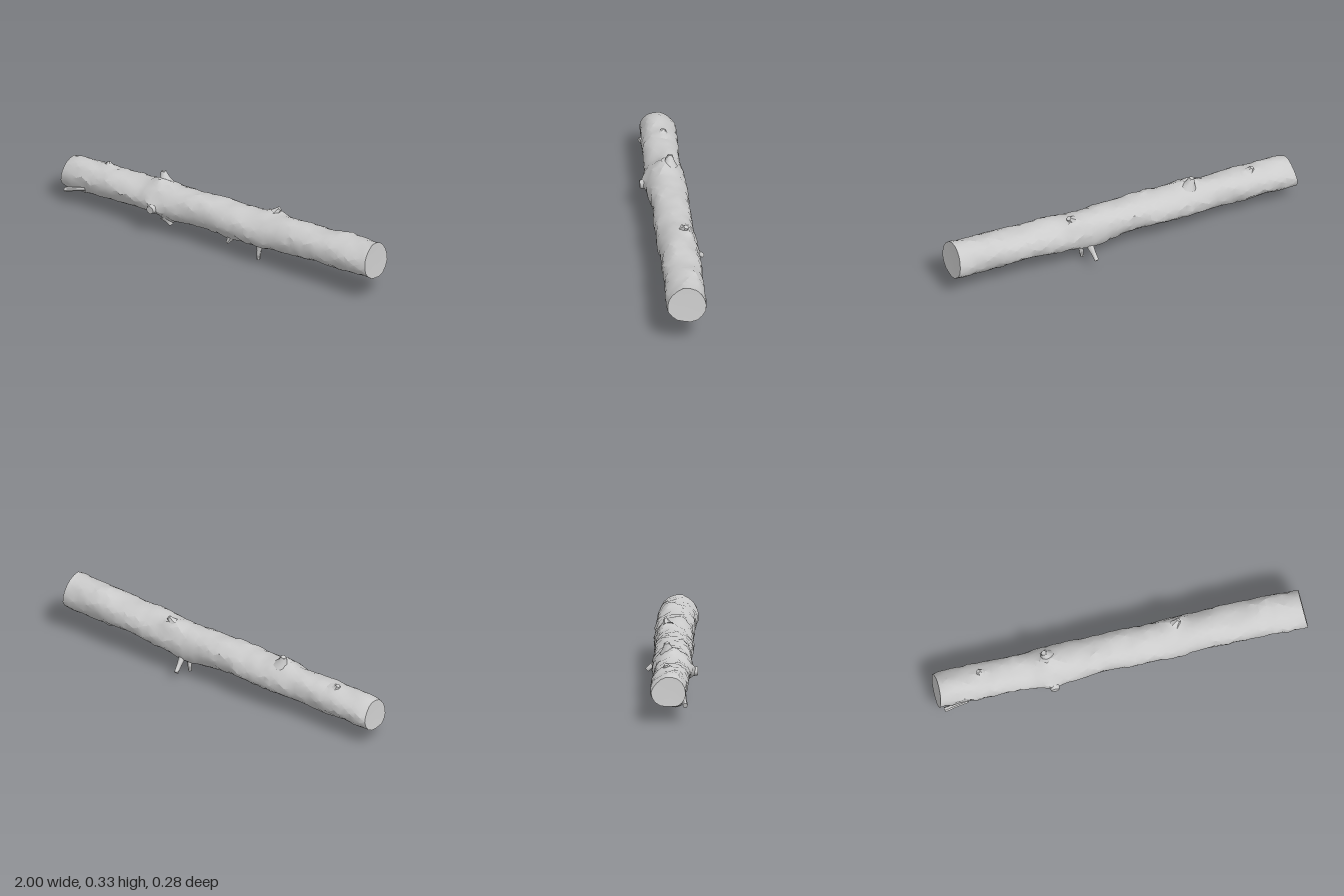
import * as THREE from 'three';
import { toCreasedNormals } from 'three/addons/utils/BufferGeometryUtils.js';

// Trunk stations: x, top y, bottom y, back z, front z
const STATIONS = [
  [-1.0, 0.24, 0.088, -0.095, 0.08], [-0.97, 0.252, 0.08, -0.103, 0.083],
  [-0.75, 0.258, 0.083, -0.1, 0.092], [-0.5, 0.265, 0.096, -0.095, 0.095],
  [-0.4, 0.277, 0.1, -0.105, 0.11], [-0.3, 0.275, 0.092, -0.105, 0.112],
  [-0.1, 0.284, 0.103, -0.095, 0.104], [0.1, 0.289, 0.092, -0.097, 0.105],
  [0.2, 0.286, 0.09, -0.1, 0.108], [0.4, 0.299, 0.11, -0.099, 0.11],
  [0.6, 0.304, 0.125, -0.095, 0.115], [0.8, 0.319, 0.125, -0.09, 0.12],
  [1.0, 0.328, 0.136, -0.083, 0.125],
];

// Swellings: x, angle (0 = front, PI/2 = top), height, spread along x, spread around
const UP = Math.PI / 2;
const SWELLINGS = [
  [-0.4, UP, 0.018, 0.05, 0.35], [-0.38, -0.2, 0.022, 0.05, 0.3],
  [-0.32, -1.3, 0.018, 0.05, 0.3], [-0.75, UP + 0.2, 0.012, 0.03, 0.3],
  [0.32, UP + 0.5, 0.018, 0.05, 0.3], [0.78, UP + 0.3, 0.009, 0.04, 0.3],
  [-0.02, UP + 0.2, 0.008, 0.03, 0.3], [0.23, -UP, 0.01, 0.05, 0.3],
  [0.08, -1.1, 0.014, 0.03, 0.3], [0.22, Math.PI + 0.7, 0.012, 0.05, 0.3],
  [-0.92, Math.PI - 0.2, 0.007, 0.04, 0.3], [-0.93, -1.0, 0.012, 0.05, 0.3],
];

function seeded(seed) {
  return () => {
    seed = (seed * 16807) % 2147483647;
    return seed / 2147483647;
  };
}

function section(x) {
  let i = 0;
  while (i < STATIONS.length - 2 && x > STATIONS[i + 1][0]) i++;
  const a = STATIONS[i], b = STATIONS[i + 1];
  const t = (x - a[0]) / (b[0] - a[0]);
  const [, top, bottom, back, front] = a.map((v, k) => v + (b[k] - v) * t);
  return { cy: (top + bottom) / 2, ry: (top - bottom) / 2, cz: (back + front) / 2, rz: (front - back) / 2 };
}

function meshOf(name, points, index, material, crease) {
  const geometry = new THREE.BufferGeometry();
  geometry.setAttribute('position', new THREE.Float32BufferAttribute(points, 3));
  geometry.setIndex(index);
  const mesh = new THREE.Mesh(toCreasedNormals(geometry, crease), material);
  mesh.name = name;
  return mesh;
}

// Uneven bark skin and the two sawn ends
function makeTrunk(material) {
  const group = new THREE.Group();
  group.name = 'trunk';
  const rings = 60, sides = 18, random = seeded(77);
  const points = [], index = [];
  for (let i = 0; i <= rings; i++) {
    const x = -0.99 + (1.98 * i) / rings;
    const s = section(x);
    const isEnd = i === 0 || i === rings;
    for (let j = 0; j < sides; j++) {
      const a = ((j + (i % 2) * 0.5) / sides) * Math.PI * 2;
      let bump = (random() - 0.5) * (isEnd ? 0.004 : 0.008);
      bump += 0.003 * Math.sin(9 * x + 3 * a) + 0.002 * Math.sin(23 * x - 2 * a);
      for (const [bx, ba, h, sx, sa] of SWELLINGS) {
        const da = Math.atan2(Math.sin(a - ba), Math.cos(a - ba));
        bump += h * Math.exp(-(((x - bx) / sx) ** 2) - (da / sa) ** 2);
      }
      // the cuts lean slightly, so the lower rim reaches further out
      const lean = isEnd ? -Math.sign(x) * 0.01 * Math.sin(a) : (random() - 0.5) * 0.014;
      points.push(x + lean, s.cy + (s.ry + bump) * Math.sin(a), s.cz + (s.rz + bump) * Math.cos(a));
    }
  }
  for (let i = 0; i < rings; i++) {
    for (let j = 0; j < sides; j++) {
      const k = (j + 1) % sides;
      const p = i * sides + j, q = i * sides + k;
      const r = p + sides, t = q + sides;
      if (i % 2) index.push(p, r, t, p, t, q);
      else index.push(p, r, q, r, t, q);
    }
  }
  group.add(meshOf('bark', points, index, material, 0.5));

  for (const [name, ring, sign] of [['leftEnd', rings, 1], ['rightEnd', 0, -1]]) {
    const rim = points.slice(ring * sides * 3, (ring + 1) * sides * 3);
    const s = section(sign * 0.99);
    const cap = [];
    for (let j = 0; j < sides; j++) {
      const k = (j + 1) % sides;
      if (sign > 0) cap.push(sides, j, k);
      else cap.push(sides, k, j);
    }
    // rim order runs front to top, so reverse to face outward
    for (let n = 0; n < cap.length; n += 3) [cap[n + 1], cap[n + 2]] = [cap[n + 2], cap[n + 1]];
    group.add(meshOf(name, [...rim, sign * 0.988, s.cy, s.cz], cap, material, 0.6));
  }
  return group;
}

// Tapered stub between two points
function makeStub(name, from, to, baseRadius, tipRadius, sides, material) {
  const a = new THREE.Vector3(...from), b = new THREE.Vector3(...to);
  const direction = b.clone().sub(a);
  const geometry = new THREE.CylinderGeometry(tipRadius, baseRadius, direction.length(), sides, 2);
  // pinch the middle so the base flares into the bark
  const position = geometry.attributes.position;
  for (let i = 0; i < position.count; i++) {
    if (Math.abs(position.getY(i)) < 1e-5) {
      position.setX(i, position.getX(i) * 0.85);
      position.setZ(i, position.getZ(i) * 0.85);
    }
  }
  const mesh = new THREE.Mesh(toCreasedNormals(geometry, 0.9), material);
  mesh.name = name;
  mesh.position.copy(a).add(b).multiplyScalar(0.5);
  mesh.quaternion.setFromUnitVectors(new THREE.Vector3(0, 1, 0), direction.normalize());
  return mesh;
}

export function createModel() {
  const model = new THREE.Group();
  model.name = 'log';
  const material = new THREE.MeshStandardMaterial({ color: 0xcccccc });
  model.add(makeTrunk(material));

  // Broken branches, knots and a peeling splinter
  const stubs = [
    ['lowerTwig', [0.24, 0.12, 0.012], [0.226, 0.004, 0.007], 0.021, 0.01, 7],
    ['backTwig', [0.222, 0.128, -0.07], [0.212, 0.066, -0.138], 0.02, 0.012, 7],
    ['topStub', [-0.39, 0.265, -0.02], [-0.405, 0.324, -0.025], 0.045, 0.014, 8],
    ['lowerKnot', [-0.34, 0.11, 0.045], [-0.308, 0.062, 0.042], 0.035, 0.012, 7],
    ['frontKnot', [-0.38, 0.17, 0.09], [-0.38, 0.168, 0.138], 0.045, 0.022, 8],
    ['splinter', [-0.84, 0.127, 0.07], [-0.965, 0.09, 0.078], 0.012, 0.014, 6],
    ['underKnot', [0.08, 0.11, 0.05], [0.065, 0.077, 0.065], 0.025, 0.008, 6],
    ['smallTopKnot', [-0.75, 0.25, -0.02], [-0.76, 0.272, -0.025], 0.03, 0.012, 6],
    ['backTopKnot', [0.31, 0.29, -0.03], [0.33, 0.318, -0.04], 0.03, 0.013, 6],
  ];
  for (const stub of stubs) model.add(makeStub(...stub, material));
  return model;
}
